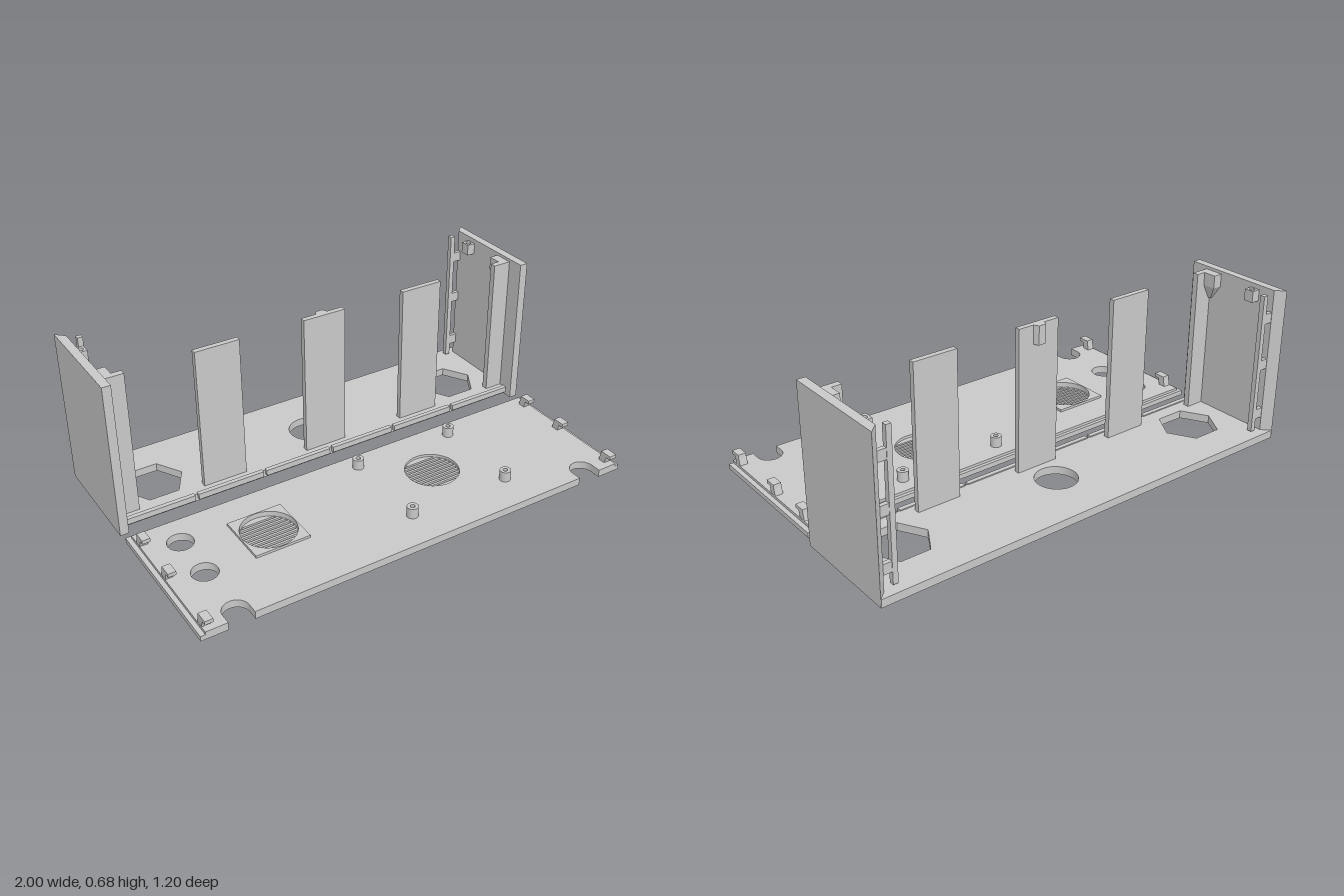
import * as THREE from 'three';

export function createModel() {
  const model = new THREE.Group();
  const grey = new THREE.MeshStandardMaterial({ color: 0xc8c8c8 });
  grey.name = 'plain grey';

  const add = (name, geometry, parent) => {
    const mesh = new THREE.Mesh(geometry, grey);
    mesh.name = name;
    parent.add(mesh);
  };
  // Box given by its limits on each axis
  const box = (name, x0, x1, y0, y1, z0, z1, parent) => {
    const g = new THREE.BoxGeometry(Math.abs(x1 - x0), y1 - y0, z1 - z0);
    g.translate((x0 + x1) / 2, (y0 + y1) / 2, (z0 + z1) / 2);
    add(name, g, parent);
  };
  // Plan outlines are written as [x, z] and extruded upwards;
  // holes run the opposite way round so their walls face inwards
  const toPoints = (pts) => pts.map(([x, z]) => new THREE.Vector2(x, -z));
  const ring = (x, z, r, n) => Array.from({ length: n }, (_, i) => {
    const a = (i / n) * Math.PI * 2;
    return [x + r * Math.cos(a), z + r * Math.sin(a)];
  });
  const plate = (name, outline, holes, y0, y1, parent) => {
    const shape = new THREE.Shape(toPoints(outline));
    holes.forEach((h) => shape.holes.push(new THREE.Path(toPoints(h).reverse())));
    const g = new THREE.ExtrudeGeometry(shape, { depth: y1 - y0, bevelEnabled: false });
    g.rotateX(-Math.PI / 2);
    g.translate(0, y0, 0);
    add(name, g, parent);
  };
  const rect = (x0, x1, z0, z1) => [[x0, z0], [x1, z0], [x1, z1], [x0, z1]];

  // ---- Rear shell: floor with two hexagonal windows and one round one
  const shell = new THREE.Group();
  shell.name = 'rearShell';
  model.add(shell);
  plate('shellFloor', rect(-0.97, 0.97, -0.598, -0.158),
    [ring(-0.755, -0.335, 0.13, 6), ring(0.755, -0.335, 0.13, 6), ring(0, -0.335, 0.09, 40)],
    0, 0.035, shell);

  // Segmented tongue along the floor's front edge
  const gaps = [-0.998, -0.645, -0.328, 0, 0.32, 0.643, 0.993];
  for (let i = 0; i < 6; i++) {
    box('floorTongue', gaps[i] + 0.008, gaps[i + 1] - 0.008, 0.014, 0.04, -0.163, -0.143, shell);
  }

  // Upright panels, the middle one with a screw boss at the top of its back
  for (const x of [-0.49, 0, 0.4875]) {
    box('uprightPanel', x - 0.098, x + 0.098, 0.03, 0.667, -0.214, -0.19, shell);
  }
  plate('panelBoss', [[-0.016, -0.235], [0.016, -0.235], [0.028, -0.212], [-0.028, -0.212]],
    [], 0.585, 0.667, shell);

  // Wedge under a wall boss, narrowing towards the wall and flange
  const wedge = (name, x, z, w, d, y0, y1, lean, parent) => {
    const g = new THREE.BoxGeometry(w, y1 - y0, d);
    const p = g.attributes.position;
    for (let i = 0; i < p.count; i++) {
      if (p.getY(i) < 0) {
        p.setX(i, p.getX(i) * 0.25 + lean * w * 0.37);
        p.setZ(i, p.getZ(i) * 0.25 + d * 0.37);
      }
    }
    g.translate(x, (y0 + y1) / 2, z);
    const flat = g.toNonIndexed();
    flat.computeVertexNormals();
    add(name, flat, parent);
  };

  // Side walls with mitred back edge, front flange, rail and bosses
  for (const s of [-1, 1]) {
    const wall = new THREE.Group();
    wall.name = s > 0 ? 'leftWall' : 'rightWall';
    shell.add(wall);
    plate('wallPanel', [[s, -0.598], [s, -0.11], [s * 0.963, -0.11], [s * 0.963, -0.562]],
      [], 0, 0.68, wall);
    box('floorCorner', s * 0.963, s * 0.998, 0, 0.035, -0.598, -0.16, wall);
    box('frontFlange', s * 0.88, s * 0.97, 0.03, 0.667, -0.214, -0.187, wall);
    box('backRail', s * 0.904, s * 0.926, 0.045, 0.667, -0.563, -0.541, wall);
    for (const y of [0.12, 0.35, 0.56]) {
      box('railBridge', s * 0.92, s * 0.97, y - 0.022, y + 0.022, -0.561, -0.543, wall);
    }
    plate('wallBlock', rect(s * 0.945 - 0.02, s * 0.945 + 0.02, -0.484, -0.44),
      [ring(s * 0.945, -0.462, 0.012, 16)], 0.61, 0.66, wall);
    box('wallBoss', s * 0.922, s * 0.966, 0.61, 0.667, -0.272, -0.213, wall);
    wedge('wallBossTaper', s * 0.944, -0.2425, 0.044, 0.059, 0.545, 0.61, s, wall);
  }

  // ---- Front cover lying flat
  const cover = new THREE.Group();
  cover.name = 'frontCover';
  model.add(cover);

  // Outline with two arched notches in the front edge
  const arch = (x) => {
    const pts = [[x + 0.054, 0.598]];
    for (let i = 0; i <= 16; i++) {
      const a = (i / 16) * Math.PI;
      pts.push([x + 0.054 * Math.cos(a), 0.553 - 0.054 * Math.sin(a)]);
    }
    pts.push([x - 0.054, 0.598]);
    return pts;
  };
  const outline = (x0, x1, z0) =>
    [[x0, z0], [x1, z0], [x1, 0.598], ...arch(0.815), ...arch(-0.833), [x0, 0.598]];

  // Round grilles: slots clipped to a circle in the base, an open circle above
  const r = 0.116;
  const half = (v) => Math.sqrt(r * r - v * v);
  const slots = (cx, cz) => Array.from({ length: 9 }, (_, i) => {
    const z0 = (i - 4) * 0.0212 - 0.005, z1 = z0 + 0.01;
    const a = half(z0) - 0.002, b = half(z1) - 0.002;
    return [[cx - a, cz + z0], [cx + a, cz + z0], [cx + b, cz + z1], [cx - b, cz + z1]];
  });
  const grilles = [[-0.512, 0.217], [0.275, 0.217]];
  const roundHoles = [ring(-0.833, 0.092, 0.054, 32), ring(-0.833, 0.303, 0.054, 32)];
  const circles = grilles.map(([x, z]) => ring(x, z, r, 40));
  plate('coverBase', outline(-0.998, 0.98, -0.06),
    [...roundHoles, ...grilles.flatMap(([x, z]) => slots(x, z))], 0, 0.022, cover);
  plate('coverStep', outline(-0.978, 0.96, -0.045), [...roundHoles, ...circles], 0.022, 0.034, cover);
  plate('grilleFrame', rect(-0.633, -0.393, 0.097, 0.337), [circles[0]], 0.033, 0.045, cover);

  // Hollow mounting posts
  for (const x of [0.023, 0.493]) {
    for (const z of [0.033, 0.433]) {
      plate('mountingPost', ring(x, z, 0.024, 24), [ring(x, z, 0.01, 16)], 0.033, 0.08, cover);
    }
  }

  // Snap hooks: side profile as [z, y] back from the tip, extruded across x
  const profile = [[0, 0.08], [-0.054, 0.08], [-0.056, 0.064], [-0.064, 0.033],
    [-0.03, 0.033], [-0.022, 0.064], [0, 0.064]];
  const hookShape = new THREE.Shape(profile.map(([z, y]) => new THREE.Vector2(-z, y)));
  for (const x of [-0.96, 0.942]) {
    for (const z of [0.064, 0.295, 0.597]) {
      const g = new THREE.ExtrudeGeometry(hookShape, { depth: 0.034, bevelEnabled: false });
      g.translate(0, 0, -0.017);
      g.rotateY(Math.PI / 2);
      g.translate(x, 0, z);
      add('snapHook', g, cover);
    }
  }
  return model;
}
